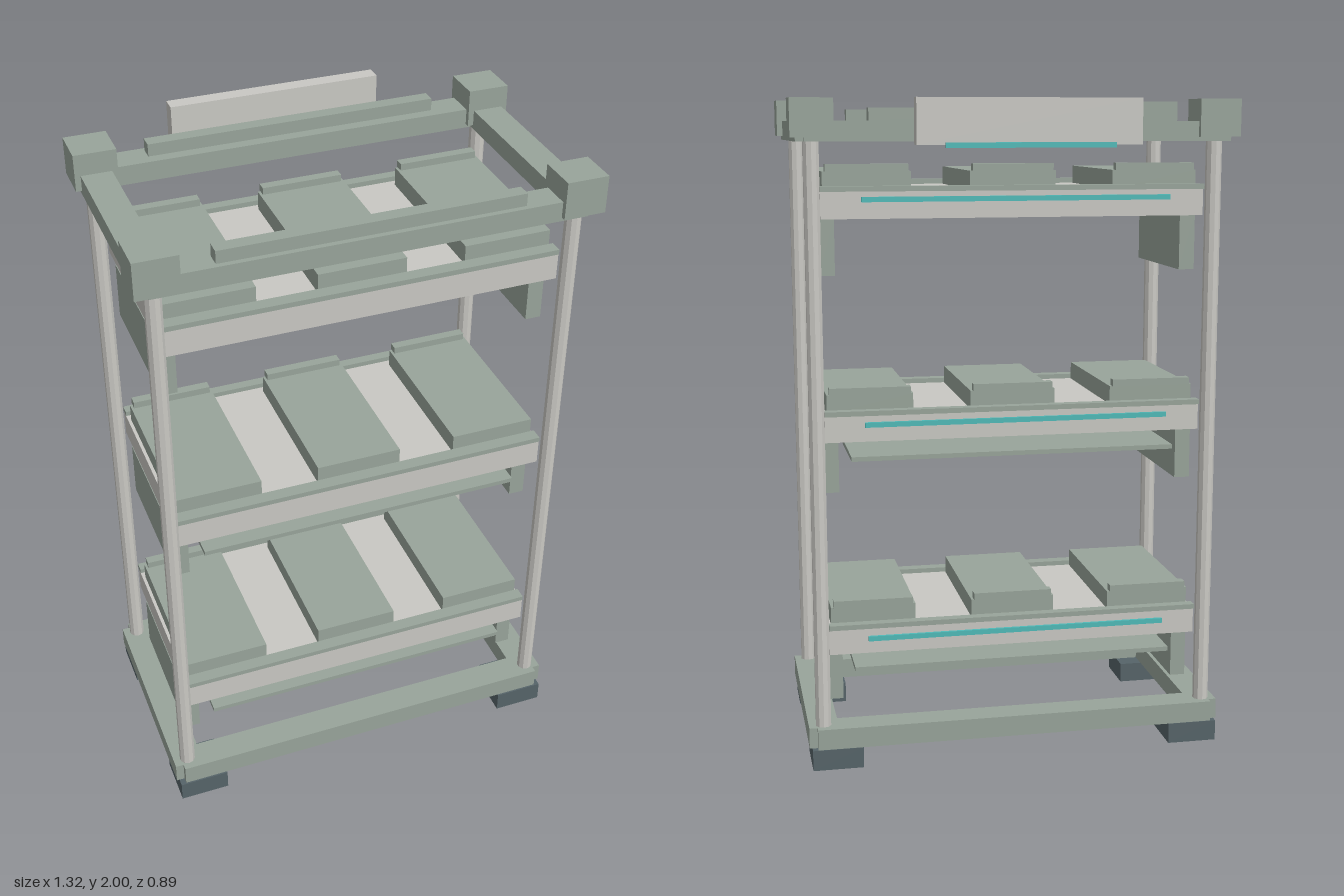
import * as THREE from 'three';

export function createModel() {
  const mat = (name, color) => {
    const m = new THREE.MeshStandardMaterial({ color });
    m.name = name;
    return m;
  };
  const sage = mat('sage', 0x98a49a);
  const pale = mat('paleGrey', 0xc9c8c3);
  const slate = mat('slate', 0x566469);
  const teal = mat('teal', 0x4fbab8);

  const model = new THREE.Group();
  model.name = 'shelfRack';

  // Box given by its extents along each axis
  const box = (parent, name, material, [x0, x1], [y0, y1], [z0, z1]) => {
    const mesh = new THREE.Mesh(new THREE.BoxGeometry(x1 - x0, y1 - y0, z1 - z0), material);
    mesh.position.set((x0 + x1) / 2, (y0 + y1) / 2, (z0 + z1) / 2);
    mesh.name = name;
    parent.add(mesh);
    return mesh;
  };
  const around = (c, half) => [c - half, c + half];

  const postX = 0.6;
  const postZ = [-0.24, 0.38];

  // Rectangular frame of four beams
  const frame = (name, y) => {
    const g = new THREE.Group();
    g.name = name;
    for (const z of postZ) box(g, 'longBeam', sage, [-0.62, 0.62], y, around(z, 0.045));
    for (const s of [-1, 1]) box(g, 'sideBeam', sage, around(s * postX, 0.045), y, [-0.265, 0.405]);
    model.add(g);
  };
  frame('baseFrame', [0.064, 0.128]);
  frame('topFrame', [1.878, 1.936]);

  // Corner posts, caps and feet
  const postGeometry = new THREE.CylinderGeometry(0.024, 0.024, 1.77, 10).toNonIndexed();
  postGeometry.computeVertexNormals();
  for (const s of [-1, 1]) {
    postZ.forEach((z, i) => {
      const post = new THREE.Mesh(postGeometry, pale);
      post.name = 'post';
      post.position.set(s * postX, 1.005, z);
      model.add(post);
      box(model, 'cornerCap', sage, around(s * postX, 0.062), [1.89, 2], around(z, 0.061));
      box(model, 'foot', slate, around(s * 0.56, 0.077), [0, 0.064], around([-0.21, 0.353][i], 0.077));
    });
  }

  // Raised rails on the top frame
  for (const z of [-0.25, 0.388]) {
    box(model, 'topRail', sage, [-0.437, 0.437], [1.936, 1.973], around(z, 0.021));
  }

  // Three loaded shelves
  [0.343, 1.0, 1.657].forEach((y, level) => {
    const g = new THREE.Group();
    g.name = 'shelf';
    g.position.y = y;
    model.add(g);
    box(g, 'shelfBoard', pale, [-0.575, 0.575], [0, 0.079], [-0.225, 0.365]);
    box(g, 'frontLip', sage, [-0.575, 0.575], [0.079, 0.094], [0.328, 0.368]);
    box(g, 'rearLip', sage, [-0.575, 0.575], [0.079, 0.094], [-0.235, -0.203]);
    box(g, 'rearStrip', teal, [-0.46, 0.46], [0.05, 0.065], [-0.267, -0.258]);
    for (const x of [-0.435, 0, 0.435]) {
      box(g, 'tray', sage, around(x, 0.13), [0.079, 0.135], [-0.18, 0.323]);
      box(g, 'trayStop', sage, around(x, 0.122), [0.135, 0.156], [-0.187, -0.157]);
    }
    for (const s of [-1, 1]) {
      box(g, 'sidePanel', sage, around(s * 0.553, 0.024), [-0.17, 0], [-0.146, 0.294]);
    }
    // Thin tray under the lower two shelves
    if (level < 2) box(g, 'underPlate', sage, [-0.497, 0.497], [-0.062, -0.048], [-0.215, 0.36]);
  });

  // Panel floating behind the top
  box(model, 'rearPanel', pale, [-0.323, 0.323], [1.87, 2], [-0.432, -0.385]);
  box(model, 'rearPanelStrip', teal, [-0.243, 0.243], [1.862, 1.877], [-0.446, -0.432]);

  return model;
}
